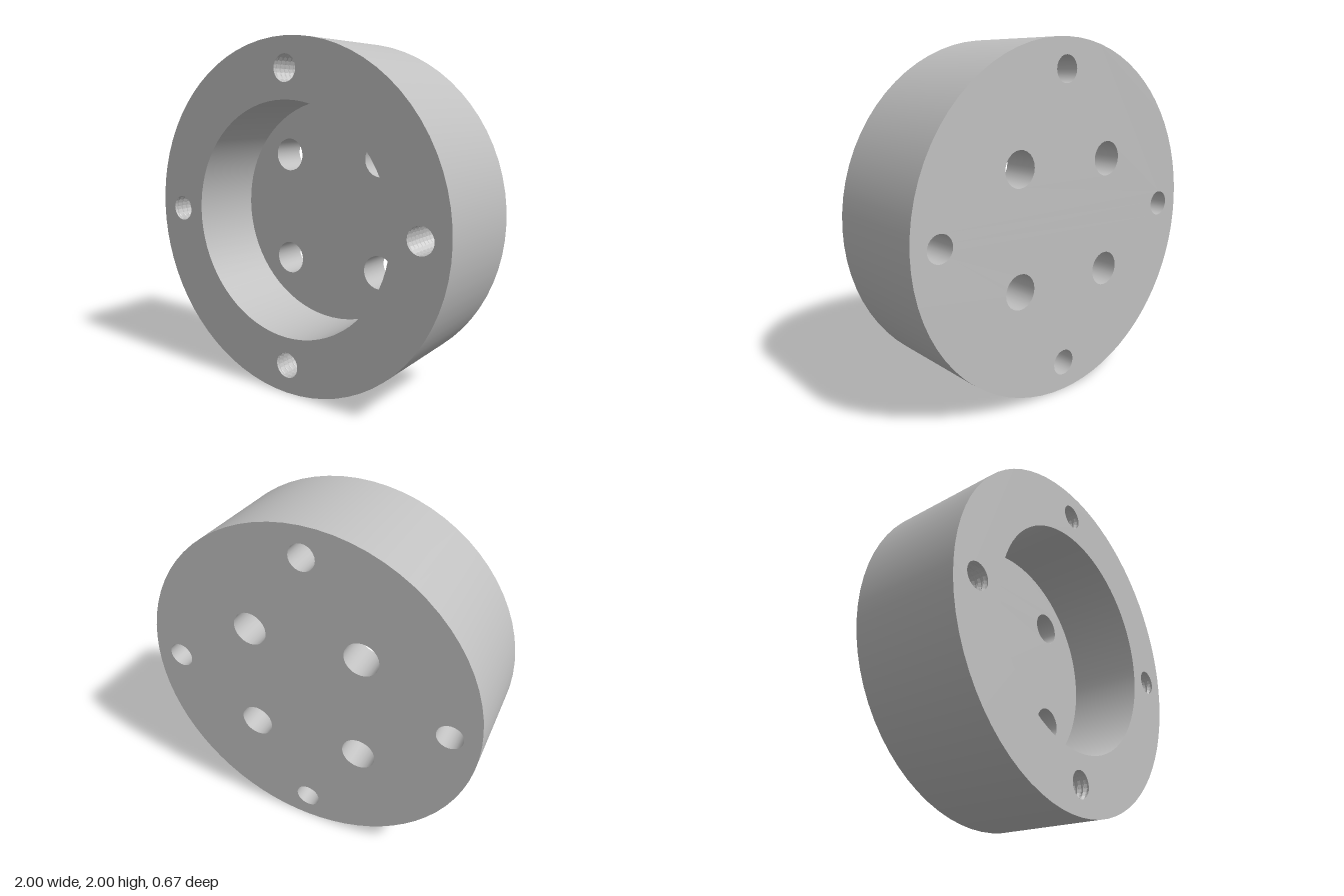
import * as THREE from 'three';

const FRONT = 0.333, FLOOR = -0.111, BACK = -0.333;
const OUTER_R = 1, BORE_R = 0.667;
const BOLT_R = 0.1, SCREW_R = 0.075;
const BIG_SIDES = 72, HOLE_SIDES = 24;
const PITCH = 0.037, THREAD_DEPTH = 0.014;

const boltHoles = [[1, 1], [-1, 1], [-1, -1], [1, -1]]
  .map(([x, y]) => ({ x: x * 0.33, y: y * 0.33, r: BOLT_R, n: HOLE_SIDES }));
const screwHoles = [[1, 0], [0, 1], [-1, 0], [0, -1]]
  .map(([x, y]) => ({ x: x * 0.833, y: y * 0.833, r: SCREW_R, n: HOLE_SIDES }));

// Regular polygon points of a circle
function ring({ x = 0, y = 0, r, n }) {
  return Array.from({ length: n }, (_, i) => {
    const a = (i / n) * Math.PI * 2;
    return new THREE.Vector2(x + r * Math.cos(a), y + r * Math.sin(a));
  });
}

// Flat disc with holes, facing +z, or -z when backward
function faceGeometry(r, holes, z, backward = false) {
  const shape = new THREE.Shape(ring({ r, n: BIG_SIDES }));
  for (const h of holes) shape.holes.push(new THREE.Path(ring(h)));
  const g = new THREE.ShapeGeometry(shape);
  if (backward) g.rotateY(Math.PI);
  return g.translate(0, 0, z);
}

// Open round wall along z; inward walls are mirrored so they face the axis
function wallGeometry({ x = 0, y = 0, r, n }, z0, z1, inward, rows = 1) {
  const g = new THREE.CylinderGeometry(r, r, z1 - z0, n, rows, true);
  g.rotateX(Math.PI / 2);
  if (inward) {
    g.scale(-1, 1, 1);
    const index = g.index.array;
    for (let i = 0; i < index.length; i += 3) {
      [index[i + 1], index[i + 2]] = [index[i + 2], index[i + 1]];
    }
    const normal = g.attributes.normal;
    for (let i = 0; i < normal.count; i++) {
      const p = new THREE.Vector3().fromBufferAttribute(g.attributes.position, i);
      normal.setXYZ(i, -p.x / r, -p.y / r, 0);
    }
    // Mirroring x reverses the winding once; undo the swap so triangles face the axis
    for (let i = 0; i < index.length; i += 3) {
      [index[i + 1], index[i + 2]] = [index[i + 2], index[i + 1]];
    }
  }
  return g.translate(x, y, (z0 + z1) / 2);
}

// Helical V groove cut outward into a screw hole, fading out at both ends
function threadGeometry(hole) {
  const rows = Math.round((FRONT - FLOOR) / PITCH) * 6;
  const g = wallGeometry({ r: hole.r, n: hole.n }, FLOOR, FRONT, true, rows);
  const p = g.attributes.position;
  for (let i = 0; i < p.count; i++) {
    const x = p.getX(i), y = p.getY(i), z = p.getZ(i);
    const turn = z / PITCH - Math.atan2(y, x) / (Math.PI * 2);
    const groove = 1 - Math.abs(2 * (turn - Math.floor(turn)) - 1);
    const fade = Math.min(1, (FRONT - z) / 0.02, (z - FLOOR) / 0.02);
    const k = 1 + (THREAD_DEPTH * groove * Math.max(0, fade)) / hole.r;
    p.setXY(i, x * k, y * k);
  }
  const flat = g.toNonIndexed();
  flat.computeVertexNormals();
  return flat.translate(hole.x, hole.y, 0);
}

export function createModel() {
  const model = new THREE.Group();
  model.name = 'flangeHub';
  const metal = new THREE.MeshStandardMaterial({ color: 0xc0c0c0 });
  metal.name = 'plain grey metal';

  const body = new THREE.Group();
  body.name = 'body';
  body.position.y = 1;
  model.add(body);
  const add = (name, geometry) => {
    const mesh = new THREE.Mesh(geometry, metal);
    mesh.name = name;
    body.add(mesh);
  };

  // Flat faces
  const bore = { r: BORE_R, n: BIG_SIDES };
  add('frontRimFace', faceGeometry(OUTER_R, [bore, ...screwHoles], FRONT));
  add('recessFloor', faceGeometry(BORE_R, boltHoles, FLOOR));
  add('backFace', faceGeometry(OUTER_R, [...boltHoles, ...screwHoles], BACK, true));

  // Round walls
  add('outerWall', wallGeometry({ r: OUTER_R, n: BIG_SIDES }, BACK, FRONT, false));
  add('recessWall', wallGeometry(bore, FLOOR, FRONT, true));

  // Bolt holes through the floor, and screw holes threaded from the front
  for (const h of boltHoles) add('boltHole', wallGeometry(h, BACK, FLOOR, true));
  for (const h of screwHoles) {
    add('screwHole', wallGeometry(h, BACK, FLOOR, true));
    add('screwThread', threadGeometry(h));
  }
  return model;
}
